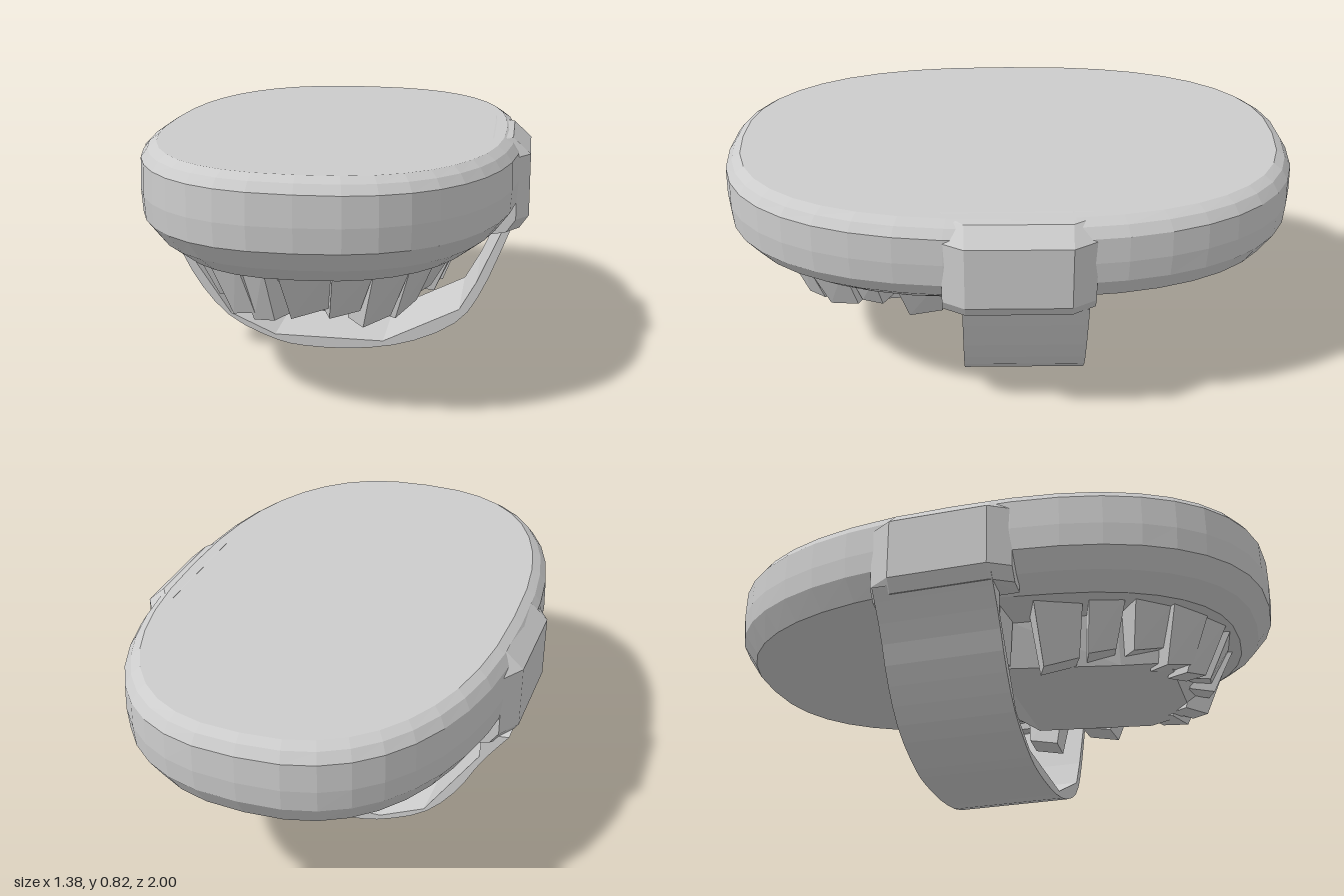
import * as THREE from 'three';
import { mergeVertices } from 'three/addons/utils/BufferGeometryUtils.js';

const mat = new THREE.MeshStandardMaterial({ color: 0xcccccc, flatShading: true, side: THREE.DoubleSide });

function part(name, geometry) {
  const mesh = new THREE.Mesh(geometry, mat);
  mesh.name = name;
  return mesh;
}

// Full, straight-sided oval outline, x half-width a and z half-length b
function oval(t, a, b) {
  const c = Math.cos(t), s = Math.sin(t), p = 2 / 2.45;
  return [a * Math.sign(c) * Math.abs(c) ** p, b * Math.sign(s) * Math.abs(s) ** p];
}

// Closed solid from equal-length rings of [x, y, z], capped at both ends
function loft(rings) {
  const n = rings[0].length, pos = [], idx = [];
  rings.forEach(r => r.forEach(p => pos.push(...p)));
  for (let j = 0; j < rings.length - 1; j++) {
    for (let i = 0; i < n; i++) {
      const k = (i + 1) % n, a = j * n + i, b = j * n + k;
      idx.push(a, a + n, b, b, a + n, b + n);
    }
  }
  const last = (rings.length - 1) * n;
  for (let i = 1; i < n - 1; i++) {
    idx.push(0, i, i + 1, last, last + i + 1, last + i);
  }
  const g = new THREE.BufferGeometry();
  g.setAttribute('position', new THREE.Float32BufferAttribute(pos, 3));
  g.setIndex(idx);
  g.computeVertexNormals();
  return g;
}

// Oval body: bottom to top rings; the front underside hangs a little lower
function bodyGeometry() {
  const N = 40;
  const profile = [ // inset, back y, front y
    [0.12, 0.5, 0.465], [0.055, 0.507, 0.515], [0.006, 0.585, 0.58],
    [0, 0.66, 0.66], [0.003, 0.755, 0.76], [0.025, 0.79, 0.79], [0.055, 0.81, 0.81],
  ];
  const rings = profile.map(([inset, back, front]) => {
    const ring = [];
    for (let i = 0; i < N; i++) {
      const [x, z] = oval((i / N) * Math.PI * 2, 0.66 - inset, 1 - inset);
      const f = THREE.MathUtils.smoothstep(z, -0.3, 0.3);
      const tilt = back > 0.7 ? -0.01 * x : 0;
      ring.push([x, back + (front - back) * f + tilt, z]);
    }
    return ring;
  });
  return loft(rings);
}

// Chamfered pad that clasps the edge of the body
function padGeometry(side) {
  const section = [[0.56, 0.805], [0.63, 0.797], [0.692, 0.74], [0.692, 0.52], [0.66, 0.475], [0.56, 0.465]];
  const ends = [[-0.28, 0.05], [-0.2, 0], [0.15, 0], [0.225, 0.045]];
  const rings = ends.map(([z, inset]) =>
    section.map(([x, y]) => [side * (x - (x > 0.6 ? inset : 0)), y, z]));
  return loft(side > 0 ? rings : rings.reverse());
}

// Strap: thin curved band hanging under the body, smooth outside and faceted inside
function strapGeometry() {
  const outer = new THREE.SplineCurve([[-0.675, 0.5], [-0.585, 0.375], [-0.5, 0.225], [-0.385, 0.1], [-0.23, 0.025],
    [-0.11, 0], [0.09, 0], [0.28, 0.035], [0.45, 0.12], [0.54, 0.25], [0.635, 0.48]].map(p => new THREE.Vector2(...p)));
  const inner = [[0.6, 0.46], [0.515, 0.27], [0.455, 0.165], [0.18, 0.032], [-0.22, 0.04],
    [-0.385, 0.115], [-0.575, 0.395], [-0.58, 0.49]].map(p => new THREE.Vector2(...p));
  const shape = new THREE.Shape([...outer.getPoints(24), ...inner]);
  return new THREE.ExtrudeGeometry(shape, { depth: 0.42, bevelEnabled: false }).translate(0, 0, -0.26);
}

// Chiselled tooth: box narrowed and swept inward toward the tip
function toothGeometry(w, h, d, taper) {
  const g = mergeVertices(new THREE.BoxGeometry(w, h, d).deleteAttribute('normal').deleteAttribute('uv'));
  const p = g.attributes.position;
  for (let i = 0; i < p.count; i++) {
    if (p.getY(i) < 0) {
      p.setX(i, p.getX(i) * taper);
      p.setZ(i, p.getZ(i) * 0.7 - 0.05);
      p.setY(i, p.getY(i) + (p.getX(i) > 0 ? 0.015 : -0.01));
    }
  }
  g.computeVertexNormals();
  return g.translate(0, -h / 2, 0);
}

export function createModel() {
  const model = new THREE.Group();
  model.add(part('body', bodyGeometry()));
  model.add(part('leftPad', padGeometry(1)), part('rightPad', padGeometry(-1)));
  model.add(part('strap', strapGeometry()));

  // Palate: block behind the teeth with a steep back and a sloping front
  const section = (z, w, y) => [[-w, 0.51, z], [w, 0.51, z], [w * 0.8, y, z], [-w * 0.8, y, z]];
  model.add(part('palate', loft([
    section(-0.16, 0.36, 0.48), section(0.06, 0.36, 0.33), section(0.5, 0.34, 0.29),
    section(0.66, 0.28, 0.3), section(0.8, 0.2, 0.45),
  ])));

  // Teeth on an arch, uneven in width, length and lean
  const teeth = new THREE.Group();
  teeth.name = 'teeth';
  const count = 13;
  for (let i = 0; i < count; i++) {
    const t = (i / (count - 1)) * Math.PI;
    const [x, z] = oval(t, 0.42, 0.72);
    const wobble = Math.sin(i * 2.4);
    const length = 0.2 + 0.025 * Math.cos(i * 1.7);
    const tooth = part('tooth', toothGeometry(0.15 + 0.025 * wobble, length, 0.13, 0.72));
    tooth.position.set(x, 0.5, z + 0.07);
    tooth.rotation.set(0.1, Math.atan2(x / 0.42, z) + wobble * 0.15, wobble * 0.1, 'YXZ');
    teeth.add(tooth);
  }
  model.add(teeth);
  return model;
}
